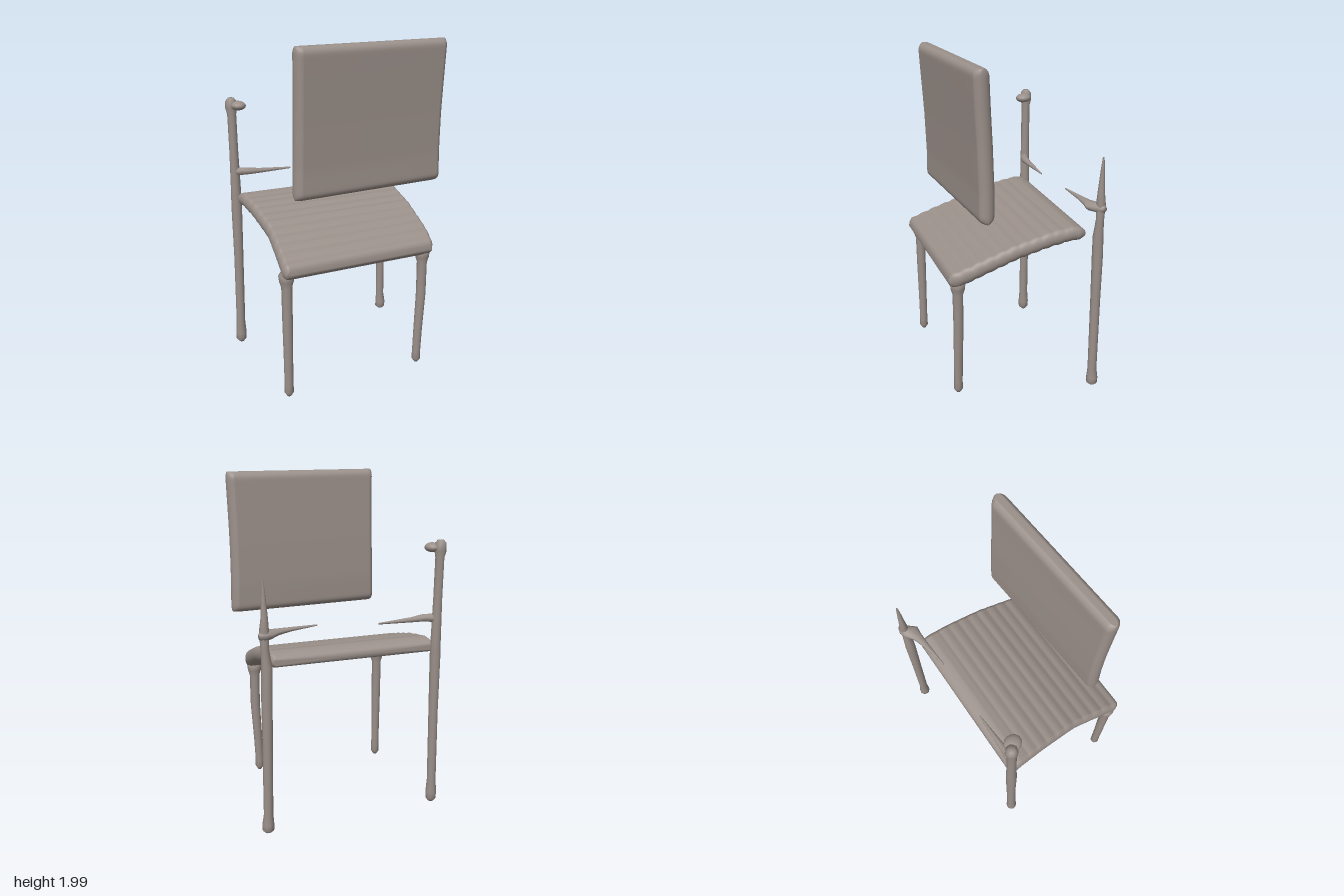
import * as THREE from 'three';

const taupe = new THREE.MeshStandardMaterial({ color: 0x9b908a });
taupe.name = 'warm grey';

// Closed skin through a row of rings, with a point cap at each end
function loft(rings) {
  const n = rings[0].length, pos = [], idx = [];
  rings.forEach(r => r.forEach(p => pos.push(...p)));
  for (let i = 0; i < rings.length - 1; i++) {
    for (let j = 0; j < n; j++) {
      const a = i * n + j, b = i * n + (j + 1) % n;
      idx.push(a, a + n, b, b, a + n, b + n);
    }
  }
  [0, rings.length - 1].forEach((k, end) => {
    const c = pos.length / 3;
    pos.push(...[0, 1, 2].map(m => rings[k].reduce((s, p) => s + p[m], 0) / n));
    for (let j = 0; j < n; j++) {
      const a = k * n + j, b = k * n + (j + 1) % n;
      if (end) idx.push(a, c, b); else idx.push(a, b, c);
    }
  });
  const g = new THREE.BufferGeometry();
  g.setAttribute('position', new THREE.Float32BufferAttribute(pos, 3));
  g.setIndex(idx);
  g.computeVertexNormals();
  return g;
}

// n points around a rounded bar: [side, rx, ry], side is the end it belongs to
const around = n => Array.from({ length: n }, (_, j) => {
  const t = (j + 0.5) / n * Math.PI * 2;
  return [Math.sign(Math.cos(t)), Math.cos(t), Math.sin(t)];
});

// Upright pole through [x, y, z, radius]
const pole = pts => loft(pts.map(([x, y, z, r]) =>
  around(10).map(([, c, s]) => [x + r * c, y, z + r * s])));

// Level spike through [x, y, z, half depth, half height], listed from -x to +x
const spike = pts => loft(pts.map(([x, y, z, d, h]) =>
  around(10).map(([, c, s]) => [x, y + h * s, z + d * c])));

// Smooth interpolation through [t, value] pairs
function lerpTable(table, t) {
  for (let i = 1; i < table.length; i++) {
    const [t0, a] = table[i - 1], [t1, b] = table[i];
    if (t <= t1) return a + (b - a) * (t - t0) / (t1 - t0);
  }
  return table[table.length - 1][1];
}

// Curved, ribbed seat cushion, built from front to back
function seatGeometry() {
  const height = [[0, 0.785], [0.1, 0.82], [0.22, 0.86], [0.47, 0.935], [0.73, 0.988], [0.9, 1.008], [1, 1.0]];
  const leftX = [[0, -0.575], [0.04, -0.59], [0.15, -0.57], [0.4, -0.525], [0.7, -0.51], [1, -0.5]];
  const rightX = [[0, 0.335], [0.04, 0.36], [0.15, 0.39], [0.45, 0.435], [0.75, 0.47], [0.95, 0.49], [1, 0.475]];
  const rings = [], rows = 90;
  for (let i = 0; i <= rows; i++) {
    const v = i / rows;
    const round = Math.sqrt(Math.max(0.02, Math.min(1, 1 - (1 - v / 0.05) ** 2 * (v < 0.05))))
      * (v > 0.9 ? Math.sqrt(1 - 0.85 * ((v - 0.9) / 0.1) ** 2) : 1);
    const rib = v < 0.85 ? 0.006 * Math.abs(Math.sin(v * Math.PI * 12)) : 0.003;
    const t = (0.041 + rib) * round;
    const y = lerpTable(height, v), x0 = lerpTable(leftX, v), x1 = lerpTable(rightX, v);
    const r = 0.035 * round;
    const tilt = 0.35 * (1 - v);
    rings.push(around(24).map(([side, c, s]) => {
      const x = side < 0 ? x0 + r + r * c : x1 - r + r * c;
      const u = (x - x0) / (x1 - x0);
      const z = (0.385 + 0.09 * u) * (1 - v) + (-0.435 + 0.12 * u) * v;
      return [x, y + t * s, z + t * s * tilt];
    }));
  }
  return loft(rings);
}

// Slightly bowed padded backrest, built from bottom to top
function backrestGeometry() {
  const offset = [[0, -0.006], [0.2, -0.008], [0.5, 0.0], [0.8, 0.014], [1, 0.022]];
  const rings = [], rows = 40;
  for (let i = 0; i <= rows; i++) {
    const a = i / rows, v = 0.5 - 0.5 * Math.cos(a * Math.PI);
    const edge = Math.min(v, 1 - v) / 0.05;
    const round = edge < 1 ? Math.sqrt(1 - 0.85 * (1 - edge) ** 2) : 1;
    const t = 0.047 * round;
    const w = 0.476 - 0.012 * (1 - round) - 0.006 * Math.sin(v * Math.PI);
    rings.push(around(24).map(([side, c, s]) => {
      const x = side * (w - 0.045) + 0.045 * c;
      const sag = 0.012 * (1 - v) * (1 - (x / w) ** 2);
      return [x + 0.015, 1.165 + 0.83 * v - sag, 0.283 + 0.05 * x + lerpTable(offset, v) + t * s];
    }));
  }
  return loft(rings);
}

export function createModel() {
  const model = new THREE.Group();
  model.name = 'chair';
  const add = (name, geometry) => {
    const mesh = new THREE.Mesh(geometry, taupe);
    mesh.name = name;
    model.add(mesh);
    return mesh;
  };

  add('seat', seatGeometry());
  add('backrest', backrestGeometry());

  // Front legs, flaring into the seat
  const frontLeg = (x, z, base, lean) => pole([
    [x - lean, base, z, 0.012], [x - lean, base + 0.025, z, 0.028], [x - lean, base + 0.07, z, 0.026],
    [x - lean * 0.7, 0.25, z, 0.027], [x, 0.5, z, 0.03], [x, 0.7, z, 0.031],
    [x, 0.735, z, 0.042], [x, 0.77, z, 0.046], [x, 0.8, z, 0.025]]);
  add('leftFrontLeg', frontLeg(0.31, 0.415, 0.035, 0.02));
  add('rightFrontLeg', frontLeg(-0.55, 0.32, 0.015, 0));

  // Tall rear posts
  add('rightRearPost', pole([
    [-0.505, 0.008, -0.44, 0.015], [-0.505, 0.03, -0.44, 0.033], [-0.505, 0.07, -0.44, 0.034],
    [-0.505, 0.15, -0.44, 0.028], [-0.5, 0.6, -0.438, 0.029], [-0.5, 0.95, -0.436, 0.033],
    [-0.5, 1.05, -0.436, 0.031], [-0.503, 1.3, -0.436, 0.027], [-0.505, 1.53, -0.438, 0.027],
    [-0.506, 1.57, -0.44, 0.036], [-0.506, 1.61, -0.44, 0.034], [-0.506, 1.63, -0.44, 0.018]]));
  add('leftRearPost', pole([
    [0.55, 0.02, -0.36, 0.018], [0.55, 0.035, -0.36, 0.034], [0.55, 0.07, -0.36, 0.034],
    [0.547, 0.13, -0.36, 0.027], [0.543, 0.6, -0.36, 0.029], [0.541, 0.9, -0.36, 0.032],
    [0.538, 1.0, -0.36, 0.03], [0.548, 1.1, -0.36, 0.023], [0.55, 1.2, -0.36, 0.027],
    [0.547, 1.27, -0.36, 0.02], [0.55, 1.4, -0.36, 0.011], [0.553, 1.47, -0.36, 0.005]]));

  // Cap on the right rear post, leaning inward
  const cap = add('postCap', new THREE.SphereGeometry(1, 14, 10));
  cap.scale.set(0.045, 0.028, 0.05);
  cap.position.set(-0.475, 1.585, -0.405);

  // Broken rail stubs tapering inward
  add('rightRailStub', spike([
    [-0.52, 1.175, -0.43, 0.015, 0.015], [-0.49, 1.175, -0.425, 0.03, 0.026], [-0.43, 1.175, -0.4, 0.026, 0.022],
    [-0.36, 1.17, -0.392, 0.018, 0.016], [-0.15, 1.165, -0.37, 0.004, 0.005]]));
  add('leftRailStub', spike([
    [0.22, 1.19, -0.327, 0.004, 0.004], [0.38, 1.185, -0.327, 0.017, 0.012], [0.46, 1.18, -0.33, 0.03, 0.018],
    [0.51, 1.175, -0.338, 0.05, 0.025], [0.55, 1.175, -0.36, 0.035, 0.03], [0.58, 1.175, -0.365, 0.016, 0.018]]));

  return model;
}
